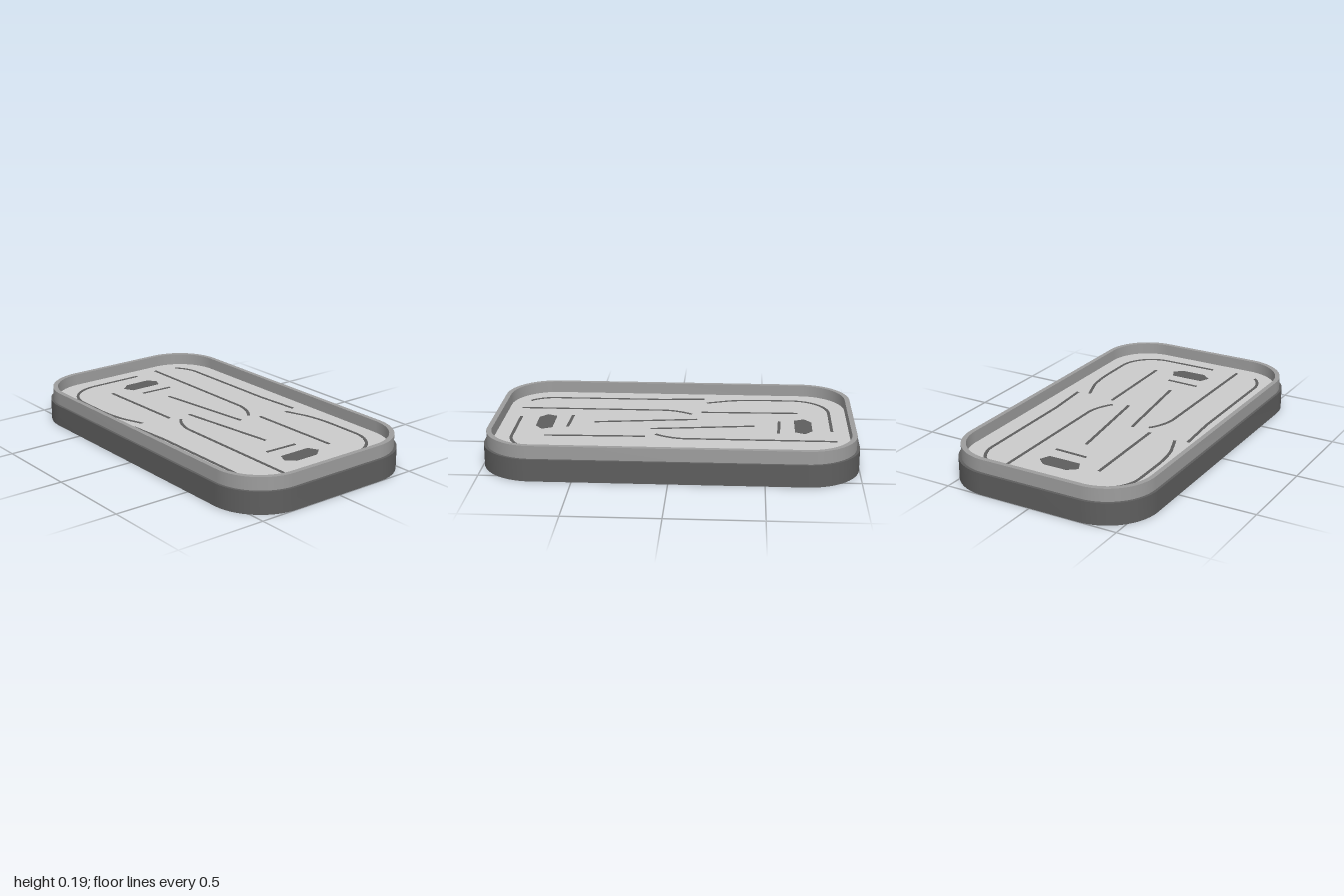
import * as THREE from 'three';
import { toCreasedNormals } from 'three/addons/utils/BufferGeometryUtils.js';

const BASE_TOP = 0.12, FLOOR = 0.126, RIM_TOP = 0.19;

const grey = (color) => new THREE.MeshStandardMaterial({ color });
const dark = grey(0x5e5e5e), mid = grey(0x9d9d9d), light = grey(0xcccccc);

// Rounded rectangle with half sizes w, d and corner radius r
function outline(w, d, r, Type = THREE.Shape) {
  const s = new Type();
  s.absarc(w - r, d - r, r, 0, Math.PI / 2);
  s.absarc(-w + r, d - r, r, Math.PI / 2, Math.PI);
  s.absarc(-w + r, -d + r, r, Math.PI, Math.PI * 1.5);
  s.absarc(w - r, -d + r, r, Math.PI * 1.5, Math.PI * 2);
  s.closePath();
  return s;
}

// Flat shape raised from y0 to y1
function slab(name, shape, y0, y1, material) {
  const geo = new THREE.ExtrudeGeometry(shape, { depth: y1 - y0, bevelEnabled: false, curveSegments: 16 });
  geo.rotateX(-Math.PI / 2).translate(0, y0, 0);
  const mesh = new THREE.Mesh(toCreasedNormals(geo, 0.6), material);
  mesh.name = name;
  return mesh;
}

// Line through [x, z] points; [cornerX, cornerZ, x, z] makes a rounded bend
function strokeShape(commands, width = 0.016) {
  const path = new THREE.Path();
  let [px, pz] = commands[0];
  path.moveTo(px, -pz);
  for (const c of commands.slice(1)) {
    const [x, z] = c.slice(-2);
    if (c.length === 2) path.lineTo(x, -z);
    else {
      const k = 0.552, [cx, cz] = c;
      path.bezierCurveTo(px + (cx - px) * k, -(pz + (cz - pz) * k),
        x + (cx - x) * k, -(z + (cz - z) * k), x, -z);
    }
    px = x; pz = z;
  }
  const pts = path.getPoints(12), left = [], right = [];
  pts.forEach((p, i) => {
    const a = pts[Math.max(i - 1, 0)], b = pts[Math.min(i + 1, pts.length - 1)];
    const n = new THREE.Vector2(a.y - b.y, b.x - a.x).setLength(width / 2);
    left.push(p.clone().add(n));
    right.unshift(p.clone().sub(n));
  });
  return new THREE.Shape([...left, ...right]);
}

export function createModel() {
  const model = new THREE.Group();
  model.name = 'tray';

  // Solid base, thin standing rim and inset floor
  model.add(slab('base', outline(1, 0.57, 0.285), 0, BASE_TOP, dark));
  const rim = outline(0.984, 0.556, 0.27);
  rim.holes.push(outline(0.957, 0.53, 0.245, THREE.Path));
  model.add(slab('rim', rim, BASE_TOP, RIM_TOP, mid));
  model.add(slab('floor', outline(0.957, 0.53, 0.245), BASE_TOP, FLOOR, light));

  // Half of the floor markings; the other half is turned by 180 degrees
  const strokes = [
    [[-0.855, -0.36], [-0.81, -0.42, -0.72, -0.42], [-0.1, -0.422], [0.155, -0.44]],
    [[0.17, -0.37], [0.29, -0.413], [0.36, -0.435, 0.48, -0.436], [0.66, -0.436],
      [0.865, -0.436, 0.865, -0.23], [0.865, 0.08]],
    [[-0.885, -0.23], [-0.07, -0.23], [0.02, -0.23, 0.09, -0.168]],
    [[0.145, -0.205], [0.69, -0.217]],
    [[-0.445, -0.011], [0.125, -0.083]],
    [[-0.575, -0.115], [-0.583, 0.075]],
  ];
  const plate = [[-0.72, -0.12], [-0.665, -0.095], [-0.665, 0.088], [-0.72, 0.115], [-0.76, 0.065], [-0.76, -0.072]];
  for (const angle of [0, Math.PI]) {
    const half = new THREE.Group();
    half.name = angle ? 'leftMarkings' : 'rightMarkings';
    for (const s of strokes) half.add(slab('floorLine', strokeShape(s), FLOOR - 0.002, FLOOR + 0.002, dark));
    const hex = new THREE.Shape(plate.map(([x, z]) => new THREE.Vector2(x, -z)));
    half.add(slab('hexPlate', hex, FLOOR - 0.002, FLOOR + 0.002, dark));
    half.rotation.y = angle;
    model.add(half);
  }
  return model;
}
